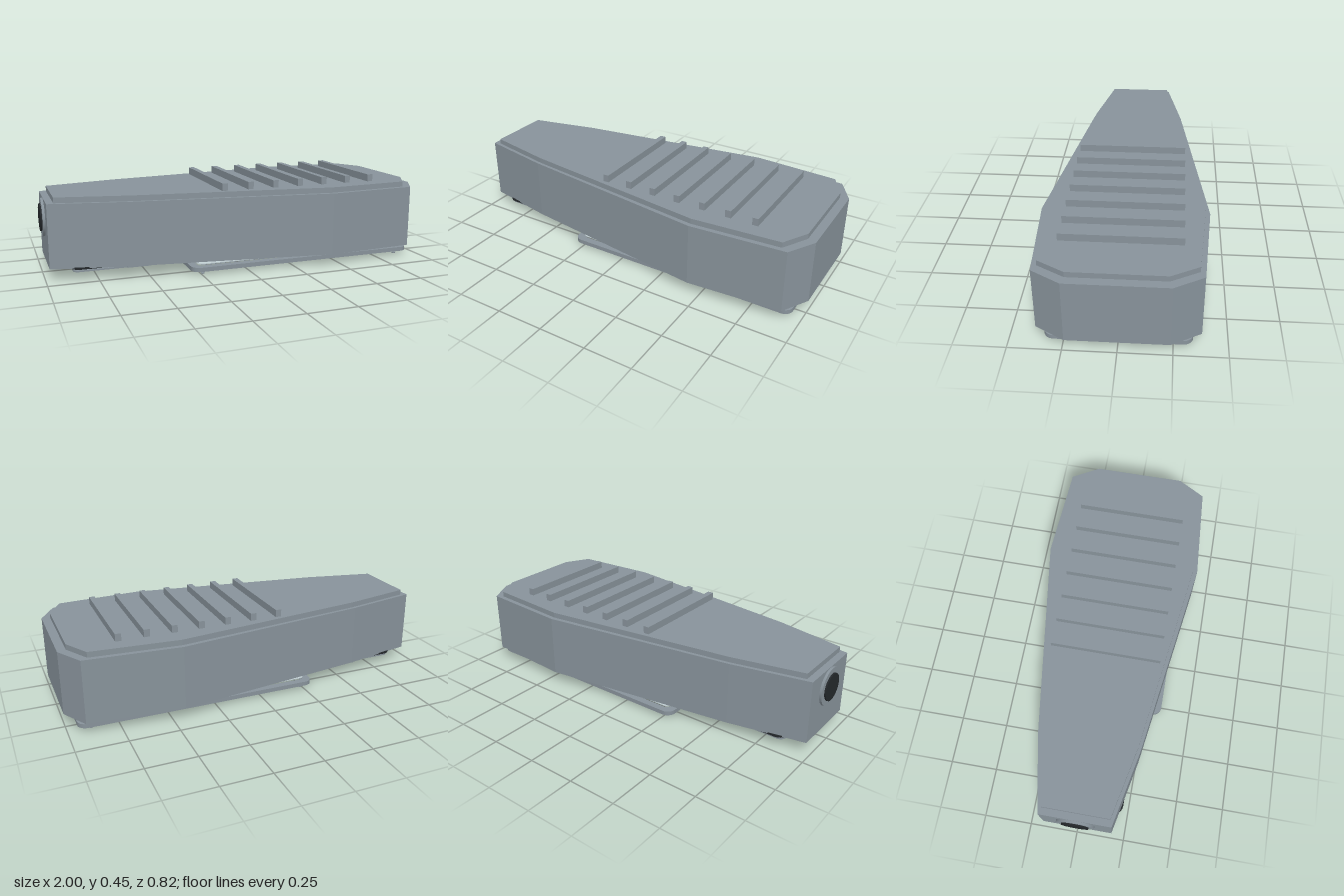
import * as THREE from 'three';

const paint = (color) => new THREE.MeshStandardMaterial({ color });
const housingMat = paint(0x87929a);
const darkMat = paint(0x24282b);
const paleMat = paint(0xc4d2d6);

// Closed outline mirrored across z from one half of [x, z] points
function mirroredShape(half) {
  const pts = half.map(([x, z]) => new THREE.Vector2(x, -z));
  half.slice().reverse().forEach(([x, z]) => pts.push(new THREE.Vector2(x, z)));
  return new THREE.Shape(pts);
}

// Rounded rectangle from x0 to x1, half width w, corner radius r
function roundedRect(x0, x1, w, r) {
  const s = new THREE.Shape();
  s.absarc(x1 - r, w - r, r, 0, Math.PI / 2);
  s.absarc(x0 + r, w - r, r, Math.PI / 2, Math.PI);
  s.absarc(x0 + r, -w + r, r, Math.PI, Math.PI * 1.5);
  s.absarc(x1 - r, -w + r, r, Math.PI * 1.5, Math.PI * 2);
  return s;
}

// Horizontal slab of a plan outline between two heights
function slab(name, shape, y0, y1, material, hole) {
  if (hole) shape.holes.push(hole);
  const geo = new THREE.ExtrudeGeometry(shape, { depth: y1 - y0, bevelEnabled: false, curveSegments: 5 });
  geo.rotateX(-Math.PI / 2).translate(0, y0, 0);
  const mesh = new THREE.Mesh(geo, material);
  mesh.name = name;
  return mesh;
}

function box(name, x, y, z, w, h, d) {
  const mesh = new THREE.Mesh(new THREE.BoxGeometry(w, h, d), housingMat);
  mesh.position.set(x, y, z);
  mesh.name = name;
  return mesh;
}

export function createModel() {
  const model = new THREE.Group();
  model.name = 'streetLampHead';

  // Tapered housing and its stepped lid
  model.add(slab('housing', mirroredShape(
    [[-0.98, 0.182], [-0.59, 0.262], [0.44, 0.41], [0.92, 0.378], [1, 0.238]]), 0.062, 0.386, housingMat));
  model.add(slab('lid', mirroredShape(
    [[-0.945, 0.17], [-0.58, 0.247], [0.44, 0.387], [0.885, 0.356], [0.957, 0.225]]), 0.386, 0.414, housingMat));

  // Cooling fins across the lid
  const fins = new THREE.Group();
  fins.name = 'coolingFins';
  for (let i = 0; i < 7; i++) {
    fins.add(box('fin', -0.112 + i * 0.139, 0.432, 0, 0.03, 0.04, 0.575));
  }
  model.add(fins);

  // Lamp window: frame, pale glass behind it and lens panel inside
  model.add(slab('lampFrame', roundedRect(-0.3, 0.95, 0.34, 0.045), 0.019, 0.041, housingMat,
    roundedRect(-0.262, 0.912, 0.303, 0.025)));
  model.add(slab('lampGlass', roundedRect(-0.265, 0.915, 0.306, 0.025), 0.047, 0.052, paleMat));
  model.add(slab('lensPanel', roundedRect(-0.24, 0.89, 0.282, 0.015), 0.036, 0.047, housingMat));

  // Screw heads at the window corners
  for (const x of [-0.24, 0.885]) {
    for (const z of [-0.303, 0.303]) {
      const screw = new THREE.Mesh(new THREE.CylinderGeometry(0.009, 0.009, 0.005, 12), housingMat);
      screw.position.set(x, 0.0025, z);
      screw.name = 'screw';
      model.add(screw);
    }
  }

  // Service hatch with its seal and side latches
  model.add(slab('hatchSeal', roundedRect(-0.88, -0.29, 0.22, 0.05), 0.057, 0.067, darkMat,
    roundedRect(-0.86, -0.31, 0.2, 0.035)));
  model.add(slab('hatch', roundedRect(-0.87, -0.3, 0.205, 0.03), 0.041, 0.049, housingMat));
  for (const side of [-1, 1]) {
    model.add(box('latch', -0.55, 0.056, side * 0.232, 0.12, 0.012, 0.02));
  }

  // Pole socket at the narrow end
  const socket = new THREE.Group();
  socket.name = 'poleSocket';
  const flange = new THREE.Mesh(new THREE.CylinderGeometry(0.097, 0.097, 0.012, 32), housingMat);
  flange.position.y = 0.006;
  flange.name = 'socketFlange';
  const opening = new THREE.Mesh(new THREE.CylinderGeometry(0.07, 0.07, 0.02, 32), darkMat);
  opening.position.y = 0.01;
  opening.name = 'socketOpening';
  socket.add(flange, opening);
  socket.rotation.z = Math.PI / 2;
  socket.position.set(-0.98, 0.286, 0);
  model.add(socket);

  return model;
}
